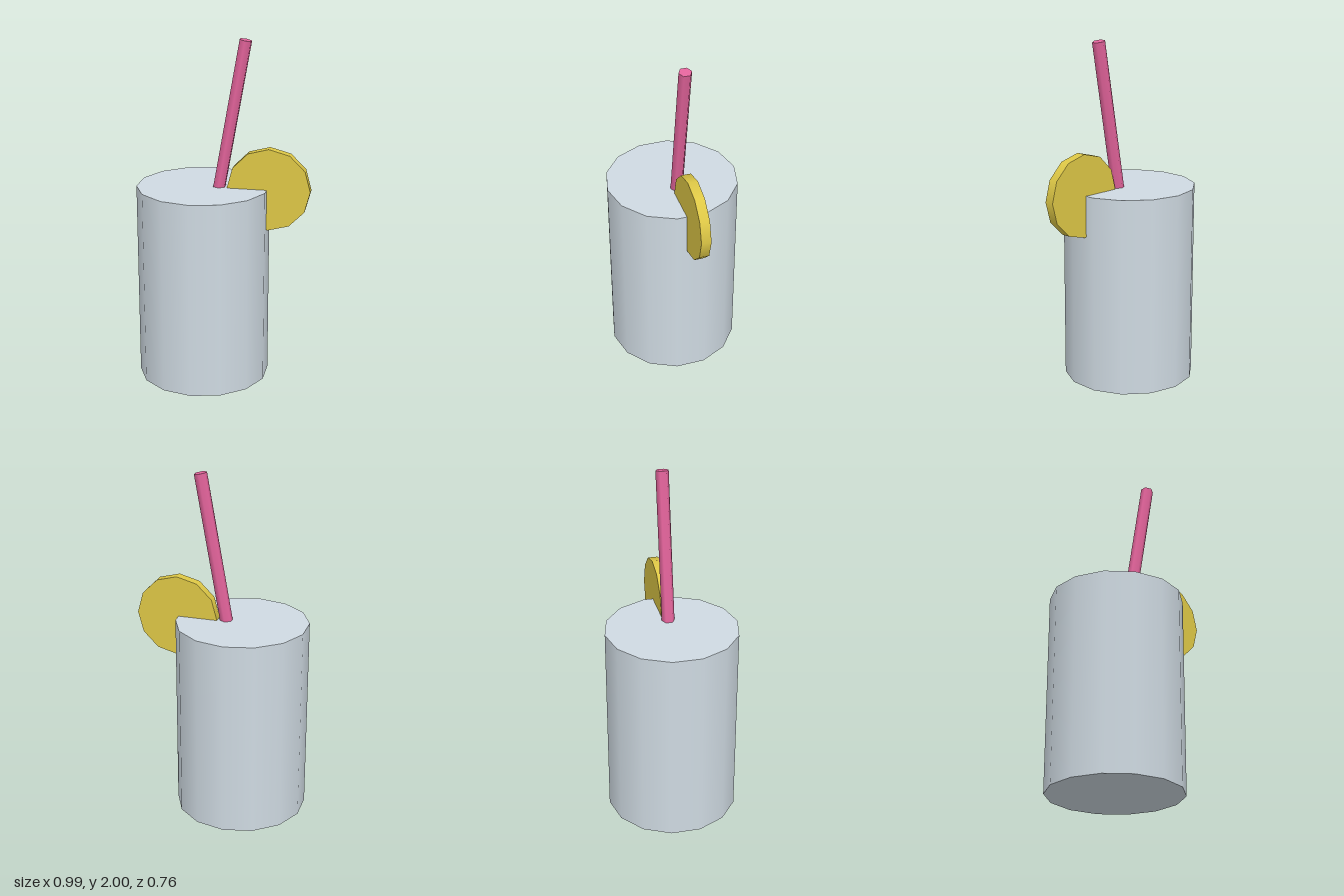
import * as THREE from 'three';

export function createModel() {
  const model = new THREE.Group();
  model.name = 'drink';

  const paint = (name, color) => {
    const m = new THREE.MeshStandardMaterial({ color });
    m.name = name;
    return m;
  };
  const glassGrey = paint('pale glass grey', 0xcfdae2);
  const strawPink = paint('straw pink', 0xe4649c);
  const lemonYellow = paint('lemon yellow', 0xdec846);

  const add = (name, radius, length, sides, material) => {
    const mesh = new THREE.Mesh(new THREE.CylinderGeometry(radius, radius, length, sides), material);
    mesh.name = name;
    model.add(mesh);
    return mesh;
  };

  // Filled tumbler, standing on the ground
  const height = 1.15;
  add('glass', 0.382, height, 14, glassGrey).position.set(-0.125, height / 2, 0);

  // Leaning straw, placed by its upper end and running down into the glass
  const tilt = THREE.MathUtils.degToRad(10);
  const length = 1.5;
  const straw = add('straw', 0.037, length, 6, strawPink);
  straw.rotation.z = -tilt;
  straw.position.set(
    0.119 - Math.sin(tilt) * length / 2,
    1.9944 - Math.cos(tilt) * length / 2,
    0
  );

  // Upright citrus slice set into the rim
  const slice = add('citrusSlice', 0.239, 0.057, 12, lemonYellow);
  slice.rotation.x = Math.PI / 2;
  slice.position.set(0.257, height, 0);

  return model;
}
